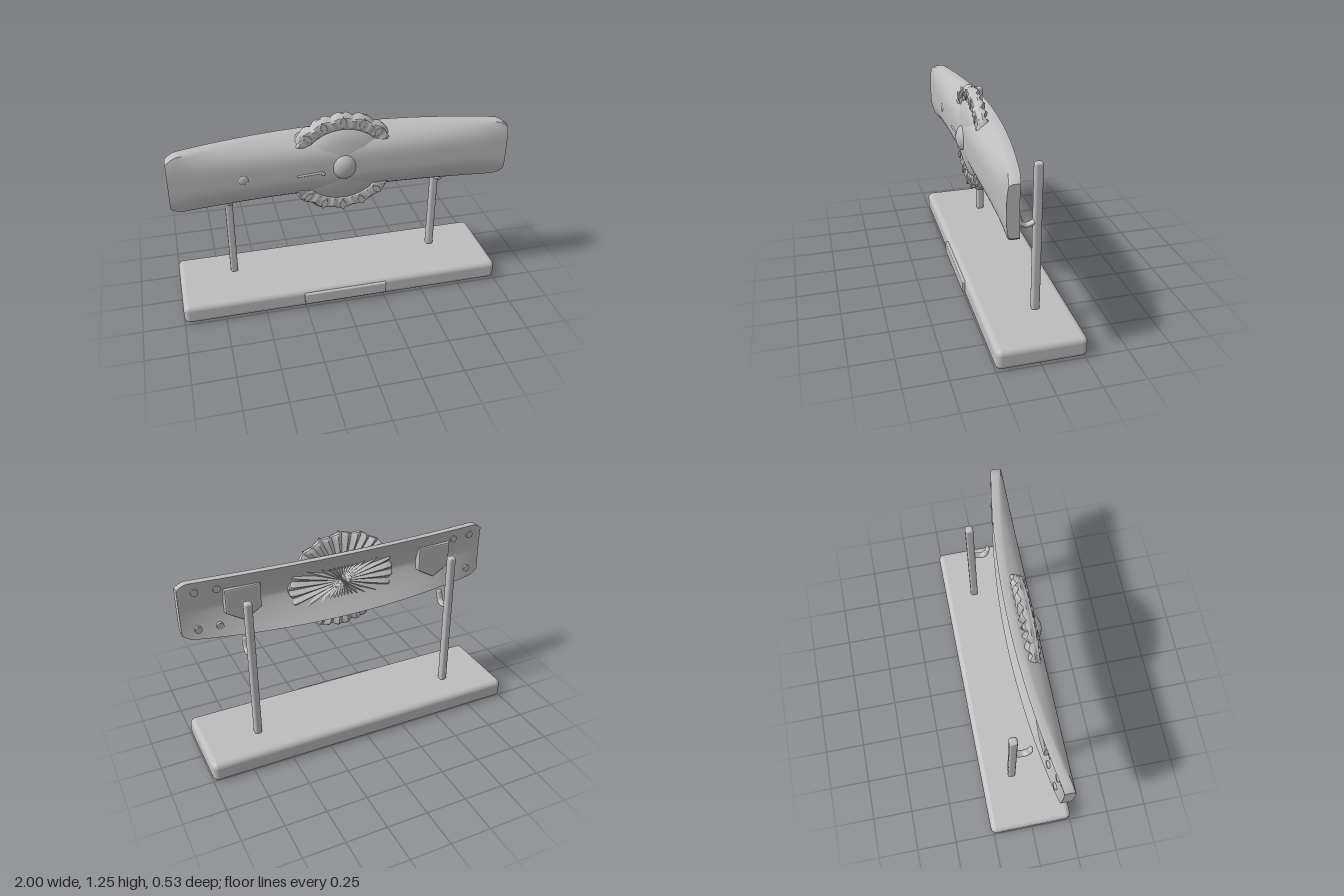
import * as THREE from 'three';
import { toCreasedNormals } from 'three/addons/utils/BufferGeometryUtils.js';
import { RoundedBoxGeometry } from 'three/addons/geometries/RoundedBoxGeometry.js';

const grey = new THREE.MeshStandardMaterial({ color: 0xbdbdbd });
grey.name = 'satin grey';
const MID = 0.935; // height of the buckle's centre line

// Skin closed rings of points [x, y, z] and cap both ends.
function loft(rings, crease = 0.6) {
  const n = rings[0].length, pos = rings.flat(2), index = [];
  for (let i = 0; i < rings.length - 1; i++) {
    for (let j = 0; j < n; j++) {
      const k = (j + 1) % n, a = i * n + j, b = a + n, c = b - j + k, d = i * n + k;
      index.push(a, b, c, a, c, d);
    }
  }
  [0, rings.length - 1].forEach((r, end) => {
    const centre = pos.length / 3;
    pos.push(...[0, 1, 2].map(q => rings[r].reduce((s, p) => s + p[q], 0) / n));
    for (let j = 0; j < n; j++) {
      const a = r * n + j, b = r * n + (j + 1) % n;
      index.push(centre, end ? b : a, end ? a : b);
    }
  });
  const g = new THREE.BufferGeometry();
  g.setAttribute('position', new THREE.Float32BufferAttribute(pos, 3));
  g.setIndex(index);
  return toCreasedNormals(g, crease);
}

// Curved plate: straight along the middle, its long edges bowed to the back.
const halfHeight = x => 0.205 - 0.028 * x * x - 0.032 * Math.max(0, (Math.abs(x) - 0.93) / 0.07) ** 2;
const frontZ = (x, v) => 0.2 - (0.115 - 0.105 * x * x) * Math.abs(v) ** 3.5;
const backZ = (x, v) => 0.135 - (0.105 - 0.1 * x * x) * Math.abs(v) ** 1.3;

function plateGeometry() {
  const rings = [], N = 24;
  for (let i = 0; i <= 60; i++) {
    const x = Math.sin((i / 60 - 0.5) * Math.PI), h = halfHeight(x), ring = [];
    for (let j = 0; j <= N; j++) {
      const v = -1 + 2 * j / N;
      ring.push([x * 0.995, MID + v * (h - 0.008), frontZ(x, v)]);
    }
    ring.push([x * 0.995, MID + h, frontZ(x, 1) - 0.015]);
    for (let j = N; j >= 0; j--) {
      const v = -1 + 2 * j / N;
      ring.push([x * 0.995, MID + v * h, backZ(x, v)]);
    }
    ring.push([x * 0.995, MID - h, frontZ(x, 1) - 0.015]);
    rings.push(ring);
  }
  return loft(rings);
}

// Scalloped shell disc: ribbed at the back, stepped rim and low dome in front.
function discGeometry() {
  const profile = [ // radius, z, rib strength
    [0.01, 0.1, 0], [0.2, 0.1, 0.4], [0.5, 0.1, 0.8], [0.8, 0.1, 1], [0.95, 0.102, 1], [1, 0.112, 0.6],
    [1, 0.132, 0], [0.975, 0.143, 0], [0.955, 0.148, 0], [0.945, 0.16, 0], [0.91, 0.166, 0.3],
    [0.74, 0.163, 0.2], [0.715, 0.157, 0], [0.7, 0.163, 0], [0.5, 0.183, 0], [0.25, 0.196, 0], [0.01, 0.2, 0]];
  const N = 192;
  return loft(profile.map(([s, z, rib]) => Array.from({ length: N }, (_, j) => {
    const t = -j / N * Math.PI * 2 + Math.PI / 2;
    const lobe = Math.abs(Math.cos(8 * (t - Math.PI / 2)));
    const r = s * (1 - 0.045 * (1 - lobe) * Math.max(0, (s - 0.75) * 4));
    return [0.345 * r * Math.cos(t), MID + 0.31 * r * Math.sin(t), z + rib * 0.012 * Math.cos(32 * t)];
  })));
}

function extrude(points, depth, bevel) {
  const shape = new THREE.Shape(points.map(p => new THREE.Vector2(...p)));
  return new THREE.ExtrudeGeometry(shape, {
    depth, bevelEnabled: true, bevelSize: bevel, bevelThickness: bevel, bevelSegments: 2 });
}

export function createModel() {
  const model = new THREE.Group();
  model.name = 'buckleOnStand';
  const add = (name, geometry, x = 0, y = 0, z = 0) => {
    const mesh = new THREE.Mesh(geometry, grey);
    mesh.name = name;
    mesh.position.set(x, y, z);
    model.add(mesh);
    return mesh;
  };

  // Stand
  add('base', new RoundedBoxGeometry(2, 0.126, 0.516, 4, 0.035), 0, 0.063, -0.008);
  add('plaque', new RoundedBoxGeometry(0.52, 0.075, 0.05, 2, 0.006), 0, 0.0675, 0.24);
  const hookPath = new THREE.CatmullRomCurve3([
    [-0.06, 0.69], [-0.035, 0.675], [-0.005, 0.667], [0.022, 0.682], [0.033, 0.71], [0.038, 0.738],
  ].map(([z, y]) => new THREE.Vector3(0, y, z)));
  for (const side of [-1, 1]) {
    add('post', new RoundedBoxGeometry(0.046, 0.91, 0.048, 3, 0.014), side * 0.655, 0.575, -0.069);
    add('hook', new THREE.TubeGeometry(hookPath, 24, 0.013, 10), side * 0.655).scale.x = 1.6;
    add('hookTip', new THREE.SphereGeometry(0.013, 10, 8), side * 0.655, 0.738, 0.038).scale.x = 1.6;
  }

  // Buckle
  add('plate', plateGeometry());
  add('shellDisc', discGeometry());

  // Leaf studs around the disc rim
  const leaf = extrude([[0, 0.03], [0.012, 0.014], [0.016, 0], [0.012, -0.014], [0, -0.03],
    [-0.012, -0.014], [-0.016, 0], [-0.012, 0.014]], 0.006, 0.003);
  for (let i = 0; i < 16; i++) {
    const t = i * Math.PI / 8;
    add('leafStud', leaf, 0.292 * Math.sin(t), MID + 0.268 * Math.cos(t), 0.162).rotation.z = -t;
  }

  // Centre knob with flattened front
  const knob = add('knob', new THREE.LatheGeometry([[0.068, 0], [0.066, 0.01], [0.045, 0.024], [0.025, 0.032], [0, 0.033]]
    .map(p => new THREE.Vector2(...p)), 32), 0, MID + 0.003, 0.196);
  knob.rotation.x = Math.PI / 2;
  knob.scale.z = 1.08;

  // Small front ornaments
  add('roundStud', new THREE.SphereGeometry(0.03, 20, 12), -0.58, 0.93, 0.195).scale.z = 0.4;
  const needle = add('needle', new THREE.CapsuleGeometry(0.007, 0.14, 4, 10), -0.2, 0.917, 0.199);
  needle.rotation.z = Math.PI / 2 + 0.06;
  add('needleTip', new THREE.SphereGeometry(0.012, 12, 8), -0.125, 0.912, 0.199);

  // Back: shield clips and rivets
  const shield = extrude([[-0.1, 0.1], [-0.1, -0.04], [0, -0.1], [0.1, -0.04], [0.1, 0.1]], 0.05, 0.008);
  const rivet = new THREE.CylinderGeometry(0.022, 0.022, 0.03, 20);
  for (const side of [-1, 1]) {
    add('shieldClip', shield, side * 0.63, MID, 0.095);
    for (const x of [0.9, 0.775]) {
      for (const y of [-0.12, 0.12]) {
        add('rivet', rivet, side * x, MID + y, backZ(x, y / halfHeight(x)) + 0.003).rotation.x = Math.PI / 2;
      }
    }
  }
  return model;
}
